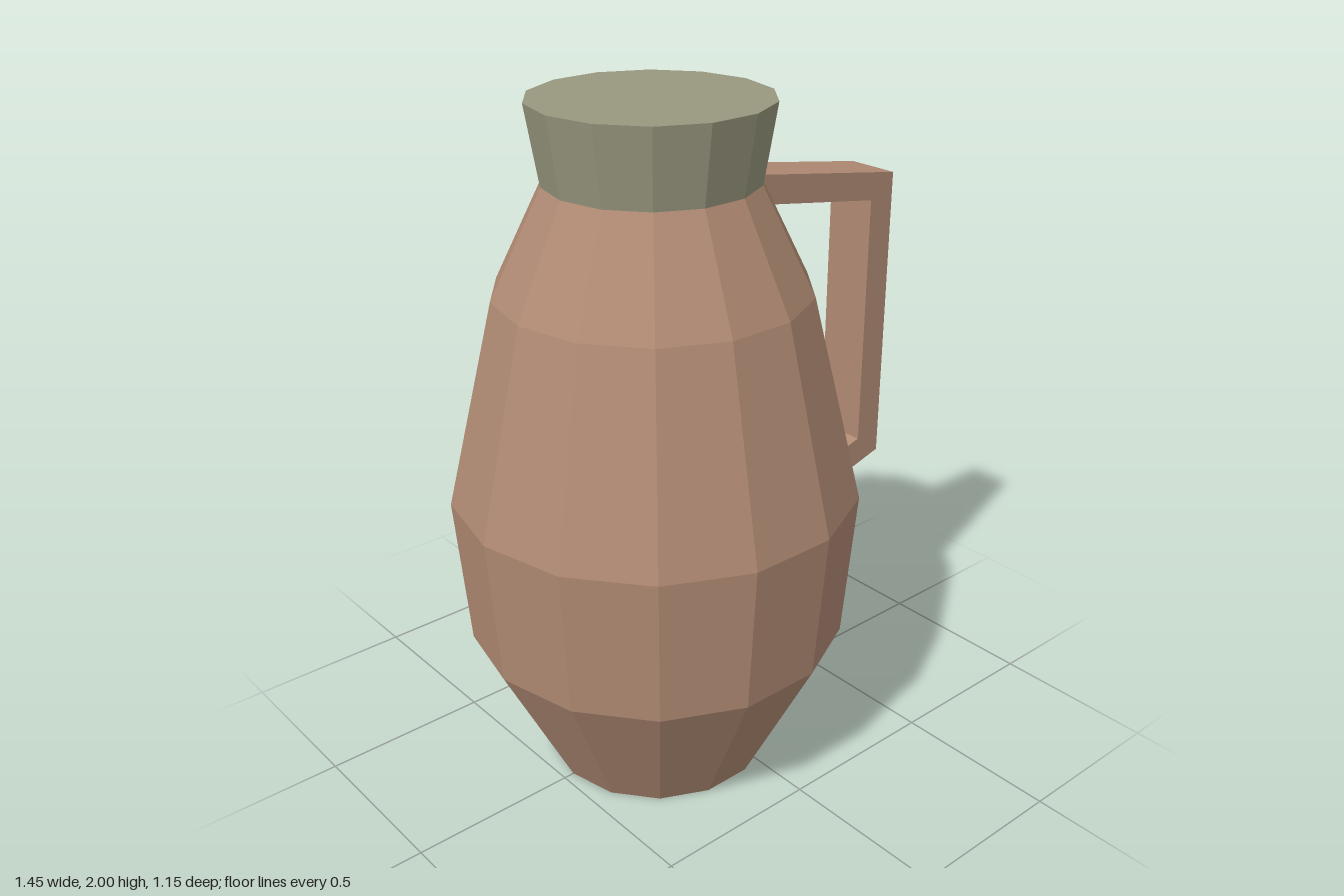
import * as THREE from 'three';

const SIDES = 14;
const AXIS_X = -0.135;

// Faceted solid of revolution with a corner facing +x
function turned(name, profile, material) {
  const points = profile.map(([r, y]) => new THREE.Vector2(r, y));
  const mesh = new THREE.Mesh(new THREE.LatheGeometry(points, SIDES, Math.PI / 2), material);
  mesh.name = name;
  mesh.position.x = AXIS_X;
  return mesh;
}

export function createModel() {
  const clay = new THREE.MeshStandardMaterial({ name: 'clay', color: 0xb18b74, flatShading: true });
  const stopper = new THREE.MeshStandardMaterial({ name: 'stopper grey', color: 0x98977f, flatShading: true });

  const jug = new THREE.Group();
  jug.name = 'jug';

  // Closed clay body, bottom to shoulder
  jug.add(turned('body', [
    [0, 0], [0.333, 0], [0.555, 0.445], [0.59, 0.89], [0.445, 1.48], [0.297, 1.78], [0, 1.78],
  ], clay));

  // Flared lid
  jug.add(turned('lid', [[0, 1.78], [0.297, 1.78], [0.333, 2], [0, 2]], stopper));

  // Angular handle, its ends sunk into the body
  const outline = new THREE.Shape([
    [0.12, 1.678], [0.635, 1.595], [0.635, 0.81], [0.36, 0.736],
    [0.36, 0.643], [0.725, 0.745], [0.725, 1.665], [0.12, 1.763],
  ].map(([x, y]) => new THREE.Vector2(x, y)));
  const depth = 0.164;
  const handle = new THREE.Mesh(
    new THREE.ExtrudeGeometry(outline, { depth, bevelEnabled: false }).translate(0, 0, -depth / 2),
    clay,
  );
  handle.name = 'handle';
  jug.add(handle);

  return jug;
}
